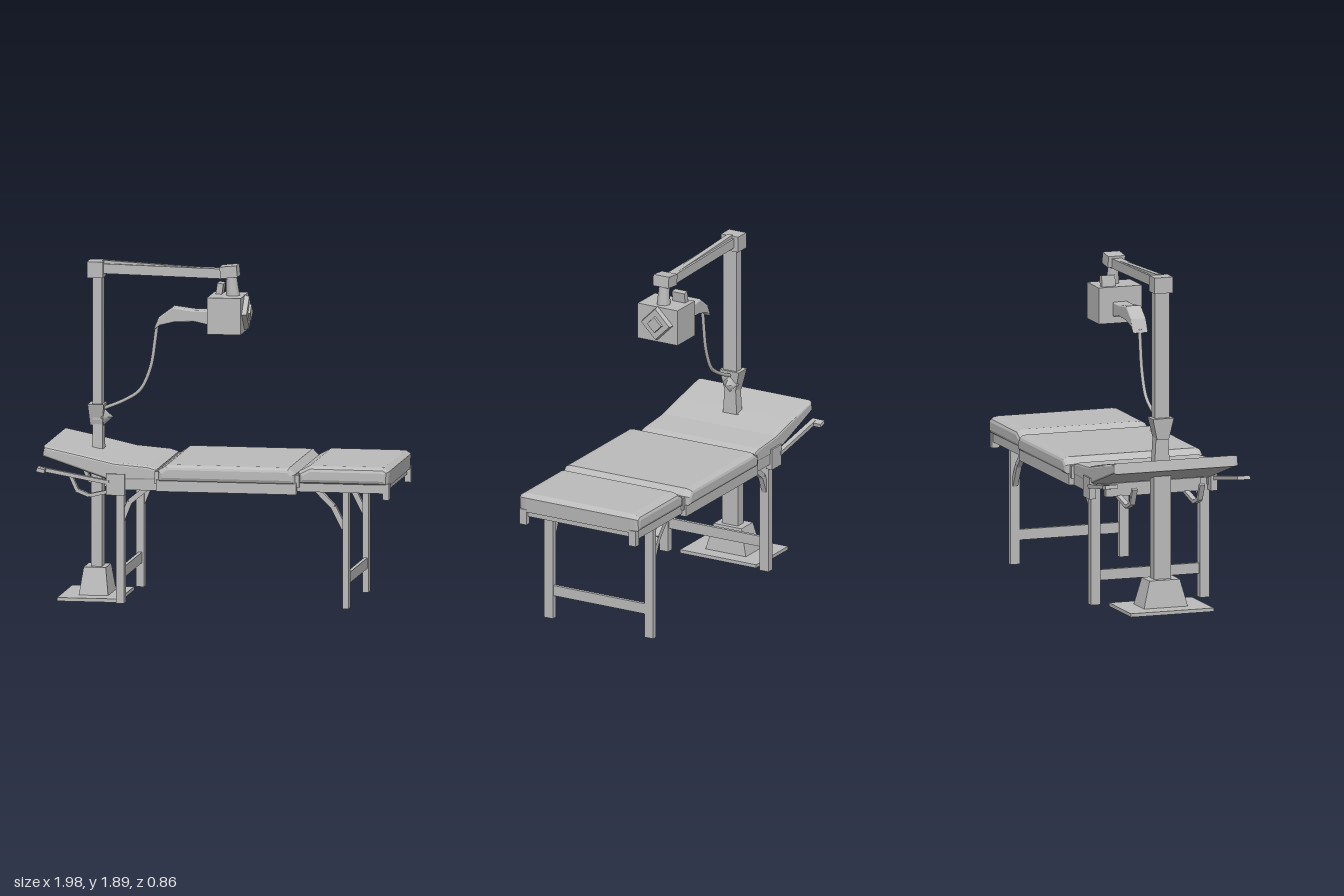
import * as THREE from 'three';

const grey = new THREE.MeshStandardMaterial({ color: 0xbcbcbc });
grey.name = 'light grey';

export function createModel() {
  const model = new THREE.Group();
  model.name = 'treatmentTableWithLamp';

  function add(name, geometry, x = 0, y = 0, z = 0) {
    const mesh = new THREE.Mesh(geometry, grey);
    mesh.name = name;
    mesh.position.set(x, y, z);
    model.add(mesh);
    return mesh;
  }
  // Box given by its limits on each axis
  function box(name, x0, x1, y0, y1, z0, z1) {
    return add(name, new THREE.BoxGeometry(x1 - x0, y1 - y0, z1 - z0),
      (x0 + x1) / 2, (y0 + y1) / 2, (z0 + z1) / 2);
  }
  // Straight bar between two points in the xy plane
  function bar(name, ax, ay, bx, by, thick, depth, z = 0) {
    const mesh = add(name, new THREE.BoxGeometry(Math.hypot(bx - ax, by - ay), thick, depth),
      (ax + bx) / 2, (ay + by) / 2, z);
    mesh.rotation.z = Math.atan2(by - ay, bx - ax);
    return mesh;
  }
  // Side profile extruded across the table, with bevelled long edges
  function slab(name, points, halfWidth, bevel, inset) {
    const shape = new THREE.Shape(points.map(p => new THREE.Vector2(...p)));
    const g = new THREE.ExtrudeGeometry(shape, {
      depth: 2 * (halfWidth - bevel), bevelEnabled: true, bevelThickness: bevel,
      bevelSize: inset, bevelOffset: -inset, bevelSegments: 3,
    });
    return add(name, g, 0, 0, -(halfWidth - bevel));
  }
  // Four-sided tapered block
  function taper(name, topX, topZ, bottomX, bottomZ, y0, y1, x) {
    const g = new THREE.BoxGeometry(1, y1 - y0, 1);
    const p = g.attributes.position;
    for (let i = 0; i < p.count; i++) {
      const top = p.getY(i) > 0;
      p.setX(i, p.getX(i) * (top ? topX : bottomX));
      p.setZ(i, p.getZ(i) * (top ? topZ : bottomZ));
    }
    g.computeVertexNormals();
    return add(name, g, x, (y0 + y1) / 2, 0);
  }

  // Cushions: raised head, middle, foot
  slab('headCushion', [[-0.98, 0.835], [-0.6, 0.71], [-0.33, 0.715], [-0.33, 0.78],
    [-0.38, 0.795], [-0.57, 0.81], [-0.75, 0.85], [-0.97, 0.895]], 0.37, 0.025, 0.015);
  slab('middleCushion', [[-0.32, 0.715], [0.455, 0.715], [0.455, 0.775], [0.42, 0.81],
    [-0.27, 0.81], [-0.32, 0.775]], 0.412, 0.04, 0.025);
  slab('footCushion', [[0.465, 0.715], [0.975, 0.715], [0.98, 0.8], [0.95, 0.82],
    [0.53, 0.82], [0.465, 0.785]], 0.388, 0.05, 0.03);

  // Under-frame: flat panel recessed between rails
  box('underPanel', -0.58, 0.95, 0.7, 0.72, -0.36, 0.36);
  box('footEndRail', 0.935, 0.96, 0.685, 0.73, -0.36, 0.36);
  box('headCrossRail', -0.61, -0.58, 0.635, 0.71, -0.28, 0.28);
  for (const x of [-0.325, 0.46]) box('hingeBar', x - 0.015, x + 0.015, 0.7, 0.77, -0.385, 0.385);

  for (const s of [-1, 1]) {
    const side = (name, x0, x1, y0, y1, zIn, zOut) =>
      box(name, x0, x1, y0, y1, Math.min(s * zIn, s * zOut), Math.max(s * zIn, s * zOut));
    // Rails
    side('headRail', -0.58, -0.32, 0.66, 0.73, 0.335, 0.365);
    side('middleRail', -0.33, 0.46, 0.66, 0.725, 0.355, 0.395);
    side('footRail', 0.46, 0.96, 0.675, 0.73, 0.34, 0.37);
    // Legs with knee braces
    side('headLeg', -0.563, -0.518, 0.02, 0.705, 0.295, 0.352);
    side('footLeg', 0.715, 0.748, 0.02, 0.705, 0.295, 0.352);
    bar('headBrace', -0.53, 0.49, -0.49, 0.59, 0.03, 0.03, s * 0.325);
    bar('headBrace', -0.49, 0.59, -0.38, 0.68, 0.03, 0.03, s * 0.325);
    bar('footBrace', 0.72, 0.47, 0.66, 0.59, 0.03, 0.03, s * 0.325);
    bar('footBrace', 0.66, 0.59, 0.56, 0.69, 0.03, 0.03, s * 0.325);
    // Side brackets and the adjustable head support
    side('cornerBracket', -0.615, -0.51, 0.63, 0.75, 0.34, 0.38);
    bar('supportRail', -1, 0.77, -0.6, 0.7, 0.022, 0.03, s * 0.37);
    bar('supportRailTip', -1, 0.77, -0.955, 0.76, 0.022, 0.07, s * 0.395);
    bar('supportStrut', -0.85, 0.72, -0.81, 0.63, 0.02, 0.03, s * 0.2);
    bar('supportStrut', -0.815, 0.63, -0.74, 0.6, 0.02, 0.03, s * 0.2);
    bar('supportStrut', -0.74, 0.6, -0.59, 0.635, 0.02, 0.03, s * 0.2);
    side('footClamp', 0.945, 0.98, 0.64, 0.73, 0.33, 0.375);
  }
  box('headStretcher', -0.55, -0.53, 0.155, 0.215, -0.3, 0.3);
  box('footStretcher', 0.722, 0.742, 0.155, 0.215, -0.3, 0.3);

  // Lamp stand
  box('basePlate', -0.915, -0.565, 0.008, 0.028, -0.245, 0.245);
  taper('pedestal', 0.125, 0.18, 0.165, 0.26, 0.028, 0.18, -0.73);
  box('lowerPost', -0.757, -0.695, 0.17, 0.84, -0.05, 0.05);
  taper('middlePost', 0.055, 0.07, 0.06, 0.09, 0.82, 1.0, -0.723);
  box('upperPost', -0.75, -0.697, 1.0, 1.87, -0.042, 0.045);
  taper('postCollar', 0.09, 0.125, 0.07, 0.07, 0.97, 1.09, -0.73);
  const knob = add('collarKnob', new THREE.ConeGeometry(0.055, 0.06, 4), -0.67, 1.015, 0);
  knob.rotation.z = -Math.PI / 2;

  // Overhead arm and its joints
  box('elbowJoint', -0.78, -0.69, 1.8, 1.89, -0.055, 0.055);
  bar('lampArm', -0.74, 1.85, 0.04, 1.835, 0.055, 0.055);
  bar('armTopRib', -0.7, 1.885, -0.1, 1.855, 0.02, 0.03);
  bar('endJoint', -0.03, 1.845, 0.065, 1.855, 0.065, 0.1);
  const neck = add('lampNeck', new THREE.CylinderGeometry(0.03, 0.04, 0.12, 8), 0.03, 1.765, 0);
  neck.rotation.z = 0.08;
  bar('headLug', -0.05, 1.71, -0.04, 1.775, 0.035, 0.08, -0.06);

  // Lamp head with a diamond lens on its outer face
  box('lampHead', -0.09, 0.1, 1.51, 1.715, -0.128, 0.128);
  for (const [name, r, t, x] of [['lensRing', 0.1, 0.03, 0.112], ['lens', 0.05, 0.02, 0.13]]) {
    const lens = add(name, new THREE.CylinderGeometry(r * 0.9, r, t, 4).toNonIndexed(), x, 1.62, 0);
    lens.geometry.computeVertexNormals();
    lens.rotation.z = -Math.PI / 2;
  }

  // Curved rear duct and the cable down to the post
  slab('duct', [[-0.41, 1.51], [-0.37, 1.54], [-0.29, 1.56], [-0.18, 1.565], [-0.08, 1.545],
    [-0.08, 1.63], [-0.18, 1.63], [-0.3, 1.645], [-0.38, 1.585]], 0.045, 0.012, 0.008);
  const cable = new THREE.CatmullRomCurve3([[-0.7, 1.06], [-0.58, 1.11], [-0.49, 1.17],
    [-0.43, 1.3], [-0.405, 1.45], [-0.395, 1.53]].map(p => new THREE.Vector3(p[0], p[1], 0)));
  add('cable', new THREE.TubeGeometry(cable, 24, 0.011, 6));

  return model;
}
